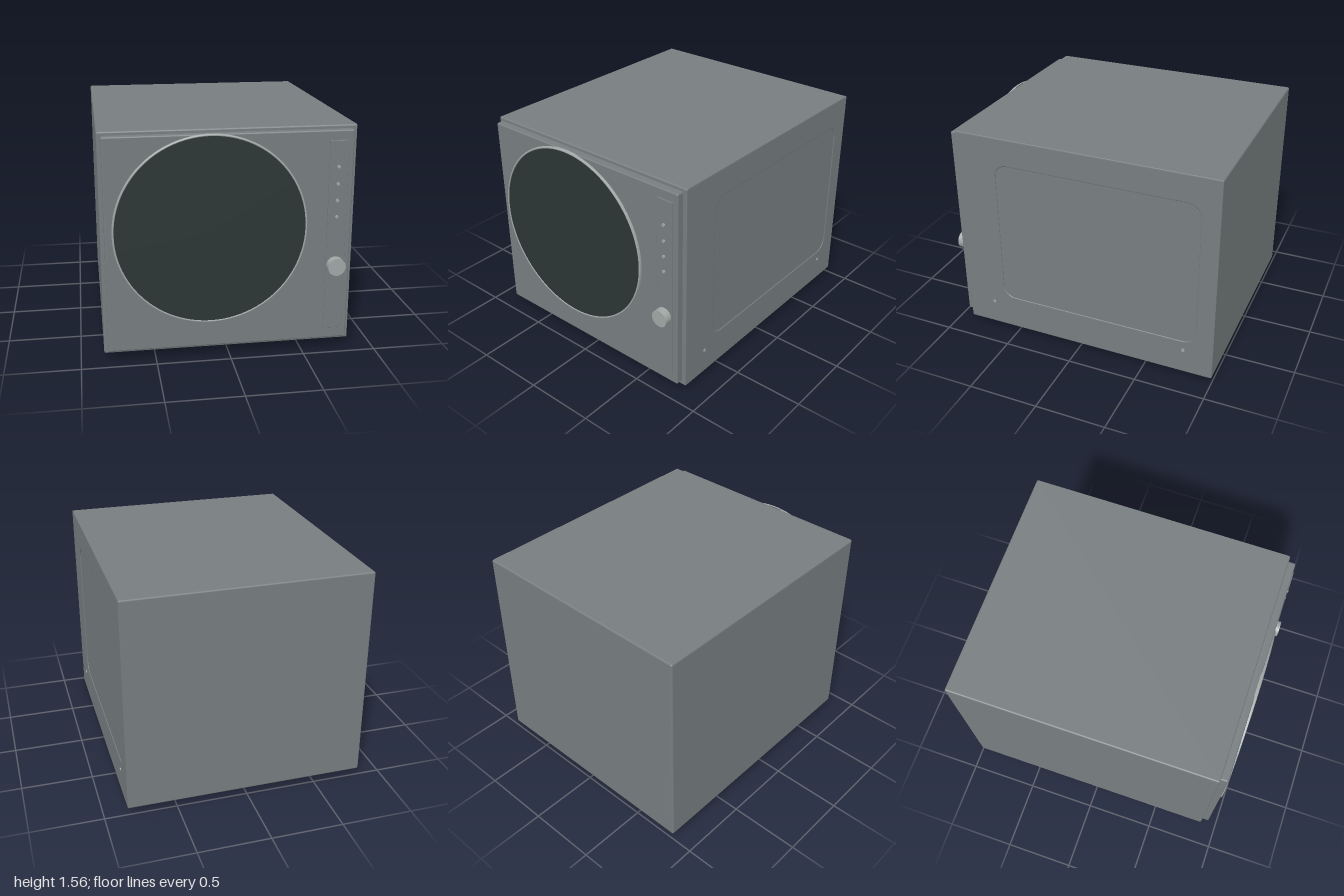
import * as THREE from 'three';
import { RoundedBoxGeometry } from 'three/addons/geometries/RoundedBoxGeometry.js';

const mat = (name, color) => {
  const m = new THREE.MeshStandardMaterial({ color });
  m.name = name;
  return m;
};

// Rounded rectangle outline added to a Shape or Path
function roundedRect(path, x0, y0, x1, y1, r) {
  path.moveTo(x0 + r, y0);
  path.lineTo(x1 - r, y0);
  path.absarc(x1 - r, y0 + r, r, -Math.PI / 2, 0);
  path.lineTo(x1, y1 - r);
  path.absarc(x1 - r, y1 - r, r, 0, Math.PI / 2);
  path.lineTo(x0 + r, y1);
  path.absarc(x0 + r, y1 - r, r, Math.PI / 2, Math.PI);
  path.lineTo(x0, y0 + r);
  path.absarc(x0 + r, y0 + r, r, Math.PI, Math.PI * 1.5);
  return path;
}

export function createModel() {
  const group = new THREE.Group();
  const grey = mat('cabinet grey', 0x777e80);
  const dark = mat('dark cloth', 0x2c3535);
  const black = mat('black rubber', 0x1c2223);
  const metal = mat('pale metal', 0xa0a8a6);

  const add = (name, geometry, material, x = 0, y = 0, z = 0) => {
    const mesh = new THREE.Mesh(geometry, material);
    mesh.name = name;
    mesh.position.set(x, y, z);
    group.add(mesh);
    return mesh;
  };
  // Box given by its min and max corners
  const box = (name, a, b, r, material) => add(name,
    new RoundedBoxGeometry(b[0] - a[0], b[1] - a[1], b[2] - a[2], 3, r), material,
    (a[0] + b[0]) / 2, (a[1] + b[1]) / 2, (a[2] + b[2]) / 2);
  // Cylinder along z between two depths
  const disc = (name, x, y, z0, z1, r, material, sides = 32) => add(name,
    new THREE.CylinderGeometry(r, r, z1 - z0, sides).rotateX(Math.PI / 2),
    material, x, y, (z0 + z1) / 2);

  // Cabinet
  box('cabinet', [-0.845, 0.045, -1], [0.834, 1.56, 0.885], 0.012, grey);

  // Left side skin with a rounded opening that leaves a shallow recess
  const bevel = 0.008;
  const side = new THREE.Shape();
  roundedRect(side, -0.885 + bevel, 0.045 + bevel, 1 - bevel, 1.56 - bevel, 0.005);
  side.holes.push(roundedRect(new THREE.Path(), -0.6, 0.29, 0.88, 1.37, 0.1));
  const skin = new THREE.ExtrudeGeometry(side, {
    depth: 0.03, bevelEnabled: true, bevelSize: bevel, bevelThickness: 0.004,
    bevelSegments: 2, curveSegments: 12,
  });
  skin.rotateY(Math.PI / 2);
  add('sidePanel', skin, grey, 0.806, 0, 0);

  // Side screws
  for (const z of [0.68, -0.79]) {
    add('sideScrew', new THREE.CylinderGeometry(0.012, 0.012, 0.015, 16).rotateZ(Math.PI / 2),
      metal, 0.8375, 0.228, z);
  }

  // Front baffle and raised control strip
  box('frontPanel', [-0.818, 0.078, 0.87], [0.81, 1.535, 0.935], 0.01, grey);
  box('controlStrip', [0.648, 0.155, 0.92], [0.775, 1.47, 0.943], 0.003, grey);

  // Round grille with its rim
  const cx = -0.13, cy = 0.897;
  disc('grille', cx, cy, 0.92, 0.947, 0.632, dark, 96);
  const rim = [[0.628, 0.93], [0.628, 0.949], [0.631, 0.952], [0.637, 0.952], [0.641, 0.947], [0.641, 0.93]]
    .map(([r, h]) => new THREE.Vector2(r, h));
  const rimGeometry = new THREE.LatheGeometry(rim.reverse(), 96).rotateX(Math.PI / 2);
  const rimMesh = add('grilleRim', rimGeometry, metal, cx, cy, 0);
  rimMesh.material.side = THREE.DoubleSide;

  // Indicator buttons and volume knob
  for (const y of [1.295, 1.18, 1.067, 0.955]) disc('button', 0.708, y, 0.93, 0.952, 0.011, metal, 16);
  disc('knobShaft', 0.71, 0.617, 0.93, 0.96, 0.045, black);
  disc('knob', 0.71, 0.617, 0.948, 1, 0.06, metal, 48);

  // Base plate and feet
  box('basePlate', [-0.76, 0.03, -0.91], [0.755, 0.06, 0.8], 0.004, black);
  for (const x of [-0.61, 0.604]) {
    for (const z of [0.615, -0.728]) {
      add('foot', new THREE.CylinderGeometry(0.073, 0.073, 0.04, 32), black, x, 0.02, z);
    }
  }
  return group;
}
